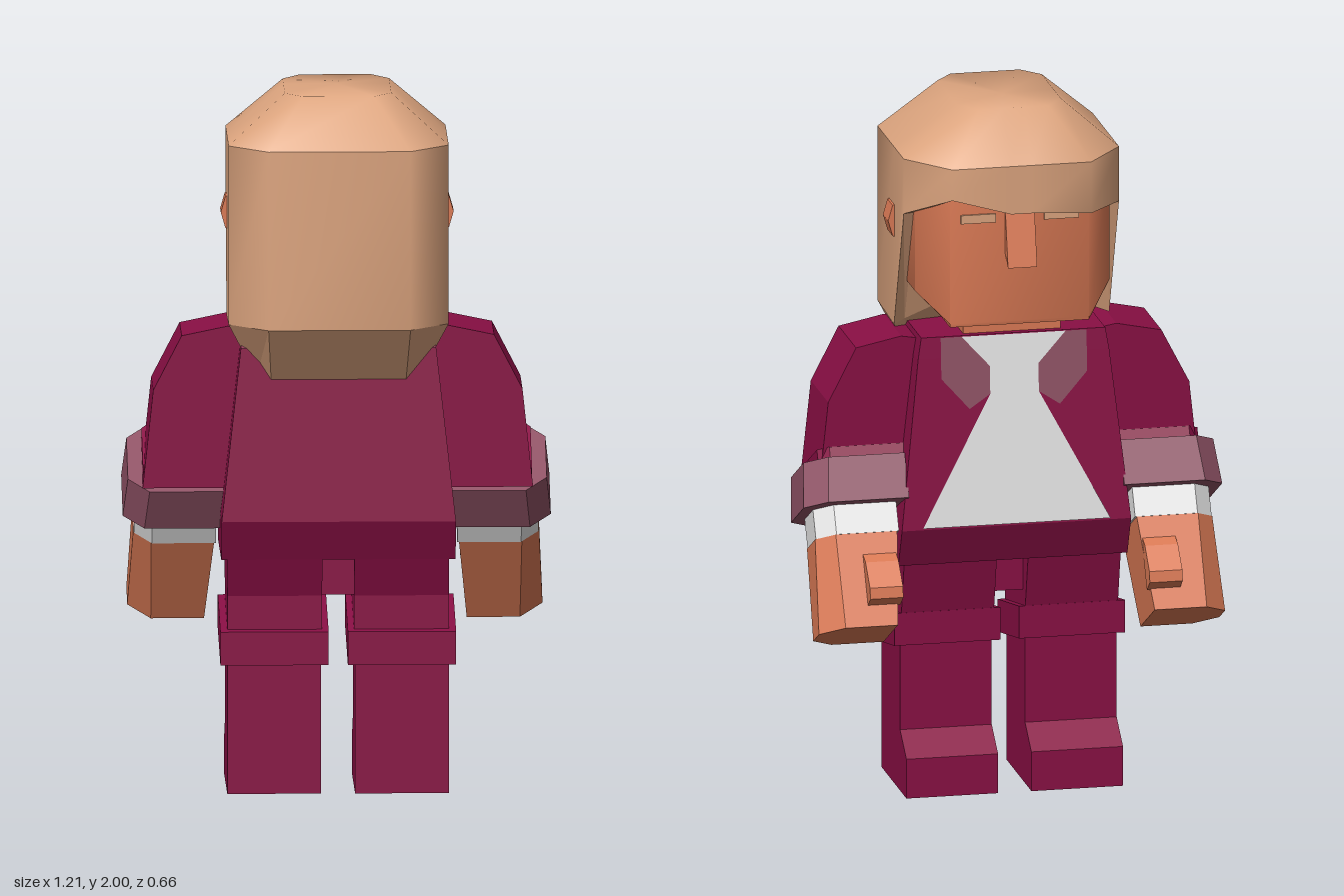
import * as THREE from 'three';
import { toCreasedNormals } from 'three/addons/utils/BufferGeometryUtils.js';

const material = (name, color, extra = {}) => {
  const m = new THREE.MeshStandardMaterial({ color, ...extra });
  m.name = name;
  return m;
};

// Mirrors a half outline of [x, z] points (front to back) into a full ring
const both = (half) => [...half, ...half.map(([x, z]) => [-x, z]).reverse()];

// Gives ring points their height: one number, or one per point
const ring = (pts, y) => pts.map(([x, z], i) => [x, Array.isArray(y) ? y[i] : y, z]);

// Surface through rings listed from top to bottom, with optional end caps
function loft(rings, top = true, bottom = true) {
  const n = rings[0].length, pos = rings.flat(2), index = [];
  rings.slice(1).forEach((_, r) => {
    for (let j = 0; j < n; j++) {
      const a = r * n + j, b = r * n + (j + 1) % n;
      index.push(a, b, b + n, a, b + n, a + n);
    }
  });
  const cap = (r, up) => {
    const c = pos.length / 3;
    for (let k = 0; k < 3; k++) pos.push(rings[r].reduce((s, p) => s + p[k], 0) / n);
    for (let j = 0; j < n; j++) {
      const a = r * n + j, b = r * n + (j + 1) % n;
      index.push(c, ...(up ? [b, a] : [a, b]));
    }
  };
  if (top) cap(0, true);
  if (bottom) cap(rings.length - 1, false);
  const g = new THREE.BufferGeometry();
  g.setAttribute('position', new THREE.Float32BufferAttribute(pos, 3));
  g.setIndex(index);
  g.computeVertexNormals();
  return g;
}

function flat(g) {
  const f = g.index ? g.toNonIndexed() : g;
  f.computeVertexNormals();
  return f;
}

const shapeOf = (pts) => new THREE.Shape(pts.map(([x, y]) => new THREE.Vector2(x, y)));

// Outline of [x, y] points extruded from z0 to z1
const frontCut = (pts, z0, z1) => flat(new THREE.ExtrudeGeometry(shapeOf(pts),
  { depth: z1 - z0, bevelEnabled: false }).translate(0, 0, z0));

// Outline of [z, y] points extruded from x0 to x1
const sideCut = (pts, x0, x1) => flat(new THREE.ExtrudeGeometry(shapeOf(pts.map(([z, y]) => [-z, y])),
  { depth: x1 - x0, bevelEnabled: false }).rotateY(Math.PI / 2).translate(x0, 0, 0));

// Copy reflected in x, with the corner order put right
function mirrored(g) {
  const m = flat(g.clone()), p = m.attributes.position;
  for (let i = 0; i < p.count; i += 3) {
    const v = [0, 2, 1].map((k) => new THREE.Vector3().fromBufferAttribute(p, i + k));
    v.forEach((q, k) => p.setXYZ(i + k, -q.x, q.y, q.z));
  }
  m.computeVertexNormals();
  return m;
}

export function createModel() {
  const hair = material('hair tan', 0xdca47e);
  const skin = material('skin', 0xdb7a55);
  const suit = material('suit maroon', 0x890f44);
  const trim = material('trim mauve', 0x8f5265, { side: THREE.DoubleSide });
  const white = material('shirt white', 0xf4f4f4, { side: THREE.DoubleSide });

  const model = new THREE.Group();
  const add = (name, geometry, mat, parent = model) => {
    const m = new THREE.Mesh(geometry, mat);
    m.name = name;
    parent.add(m);
    return m;
  };
  const pair = (name, geometry, mat) => {
    add('left' + name, geometry, mat);
    add('right' + name, mirrored(geometry), mat);
  };

  // Hair: crown, walls with an uneven fringe, tapered nape
  const wide = both([[0.03, -0.27], [0.2, -0.27], [0.31, -0.13], [0.31, 0], [0.31, 0.22], [0.2, 0.33]]);
  const crown = both([[0.03, -0.16], [0.1, -0.16], [0.15, -0.09], [0.15, 0], [0.15, 0.16], [0.1, 0.22]]);
  const nape = both([[0.03, -0.235], [0.18, -0.235], [0.275, -0.12], [0.275, 0.02], [0.23, 0.16], [0.19, 0.215]]);
  const fringe = [1.72, 1.77, 1.7, 1.34, 1.35, 1.35, 1.35, 1.35, 1.34, 1.7, 1.71, 1.72];
  const under = [1.72, 1.77, 1.7, 1.35, 1.19, 1.19, 1.19, 1.19, 1.35, 1.7, 1.71, 1.72];
  add('hairCrown', loft([ring(crown, 2), ring(wide, 1.86)], true, false), hair);
  add('hairWalls', loft([ring(wide, 1.86), ring(wide, fringe)], false, false), hair);
  add('hairNape', flat(loft([ring(wide, fringe), ring(nape, under)], false, true)), hair);

  // Face with bevelled jaw, nose, brows, ears and neck
  const cheek = both([[0.2, -0.24], [0.28, -0.14], [0.28, 0.05]]);
  const jaw = both([[0.2, -0.238], [0.2, -0.12], [0.2, 0.05]]);
  add('face', toCreasedNormals(loft([
    ring(cheek, 1.8),
    ring(cheek, [1.4, 1.475, 1.475, 1.475, 1.475, 1.4]),
    ring(jaw, 1.39),
  ]), 0.95), skin);
  add('nose', sideCut([[-0.23, 1.74], [-0.24, 1.74], [-0.28, 1.565], [-0.24, 1.6], [-0.23, 1.6]], -0.042, 0.042), skin);
  pair('Brow', new THREE.BoxGeometry(0.1, 0.025, 0.008).translate(0.12, 1.705, -0.242), hair);
  pair('Ear', frontCut([[0.3, 1.595], [0.315, 1.6], [0.328, 1.645], [0.315, 1.69], [0.3, 1.695]], -0.005, 0.065), skin);
  add('neck', new THREE.BoxGeometry(0.28, 0.14, 0.14).translate(0, 1.35, -0.065), skin);

  // Jacket
  const slab = (x, front, back) => both([[x, front], [x, back]]);
  add('jacket', flat(loft([
    ring(slab(0.265, -0.155, 0.14), 1.34),
    ring(slab(0.275, -0.16, 0.21), 1.28),
    ring(slab(0.33, -0.2, 0.245), 0.79),
    ring(slab(0.33, -0.15, 0.2), 0.675),
  ])), suit);

  // Shirt and lapels lie on the sloping front of the jacket
  const onChest = (pts) => {
    const g = new THREE.ShapeGeometry(shapeOf(pts)), p = g.attributes.position;
    for (let i = 0; i < p.count; i++) p.setZ(i, -0.159 - (1.34 - p.getY(i)) * 0.082);
    // Turn the faces outwards, towards the chest side
    const f = g.toNonIndexed(), q = f.attributes.position;
    for (let i = 0; i < q.count; i += 3) {
      const b = new THREE.Vector3().fromBufferAttribute(q, i + 1);
      const c = new THREE.Vector3().fromBufferAttribute(q, i + 2);
      q.setXYZ(i + 1, c.x, c.y, c.z);
      q.setXYZ(i + 2, b.x, b.y, b.z);
    }
    f.computeVertexNormals();
    return f;
  };
  const shirtEdge = [[0.27, 0.795], [0.07, 1.17], [0.07, 1.25], [0.15, 1.338]];
  add('shirtFront', onChest(both(shirtEdge)), white);
  pair('Lapel', onChest([[0.15, 1.338], [0.21, 1.338], [0.21, 1.22], [0.13, 1.13], [0.07, 1.17], [0.07, 1.25]]), trim);

  // Legs with shoes and slanted knee bands
  add('crotch', new THREE.BoxGeometry(0.12, 0.14, 0.22).translate(0, 0.635, 0.03), suit);
  pair('LowerLeg', sideCut([[0.16, 0], [-0.175, 0], [-0.175, 0.115], [-0.09, 0.178], [-0.09, 0.45], [0.16, 0.42]], 0.048, 0.312), suit);
  pair('Thigh', sideCut([[0.16, 0.4], [0.16, 0.565], [0.198, 0.68], [-0.145, 0.68], [-0.09, 0.45]], 0.045, 0.312), suit);
  pair('KneeBand', sideCut([[0.18, 0.37], [0.18, 0.465], [-0.11, 0.525], [-0.11, 0.43]], 0.027, 0.332), suit);

  // Upper sleeves
  pair('Sleeve', frontCut([[0.24, 0.87], [0.24, 1.32], [0.31, 1.332], [0.44, 1.305], [0.52, 1.15], [0.55, 0.87]], -0.095, 0.138), suit);

  // Forearms, swung forward from the elbow
  const swing = (g) => g.rotateX(0.49).translate(0, 0.874, -0.036);
  const section = (inner, outer, depth, cut) => [[inner, -depth], [outer - cut, -depth], [outer, -depth + cut],
    [outer, depth - cut], [outer - cut, depth], [inner, depth]];
  const limb = (y0, y1, s0, s1 = s0) => swing(flat(loft([ring(s0, y0), ring(s1, y1)])));
  pair('Elbow', limb(0.1, 0, section(0.3, 0.548, 0.125, 0.03)), suit);
  pair('Cuff', limb(0.065, -0.065, section(0.31, 0.59, 0.155, 0.06), section(0.31, 0.603, 0.155, 0.06)), trim);
  pair('ShirtSleeve', limb(-0.05, -0.15, section(0.34, 0.57, 0.113, 0.05)), white);
  pair('Hand', limb(-0.15, -0.42, section(0.345, 0.572, 0.111, 0.05), section(0.37, 0.585, 0.108, 0.065)), skin);
  pair('Thumb', swing(sideCut([[-0.1, -0.2], [-0.135, -0.24], [-0.16, -0.32], [-0.15, -0.35], [-0.1, -0.36]], 0.355, 0.45)), skin);

  return model;
}
